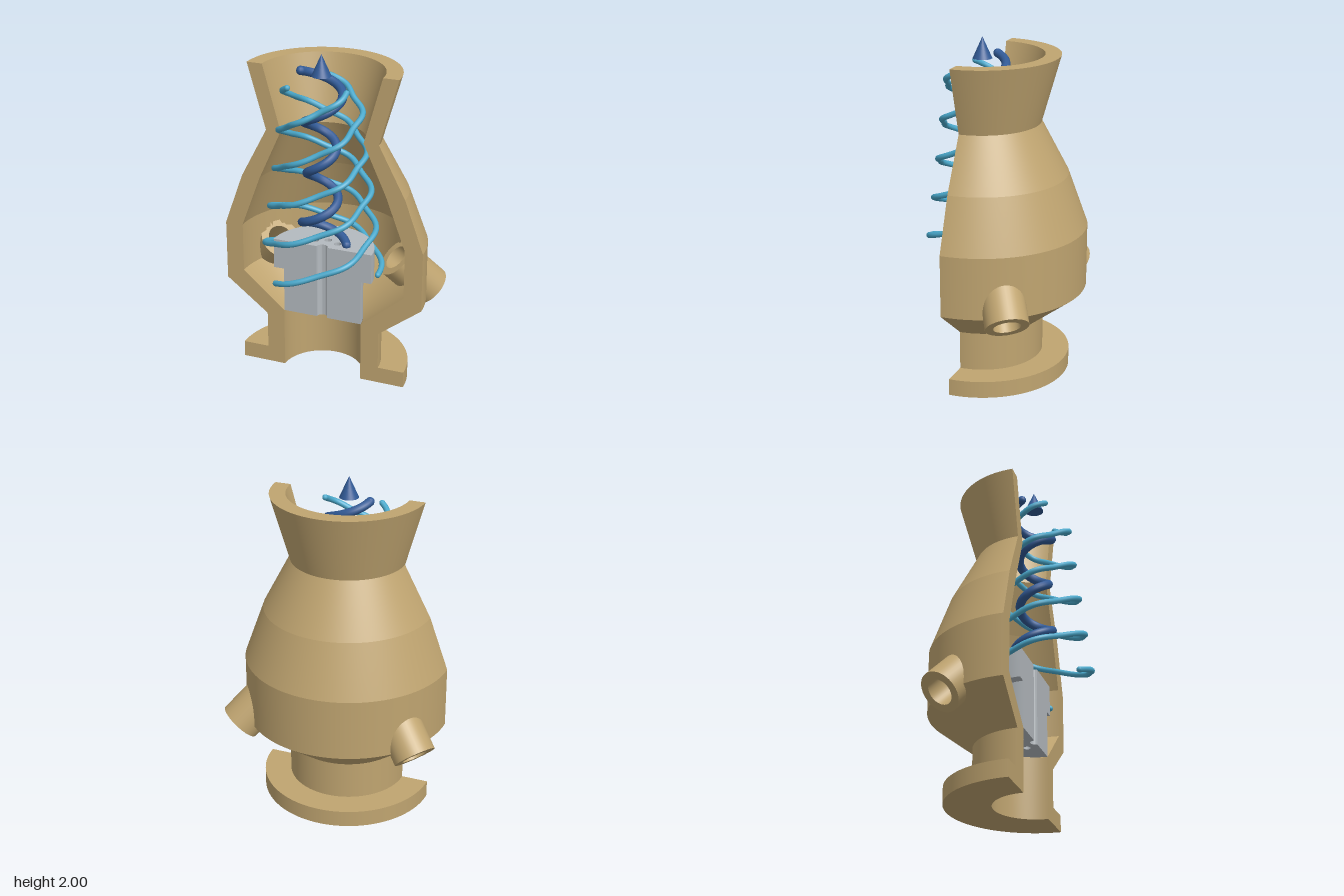
import * as THREE from 'three';
import { mergeGeometries, toCreasedNormals } from 'three/addons/utils/BufferGeometryUtils.js';

const mat = (name, color) => {
  const m = new THREE.MeshStandardMaterial({ color });
  m.name = name;
  return m;
};

const V2 = (x, y) => new THREE.Vector2(x, y);
const PORT_ANGLE = 34.3 * Math.PI / 180;

// Centre line of a side port: from its inner end, outward and down at 45 degrees
function portAxis(side) {
  const h = new THREE.Vector3(side * Math.cos(PORT_ANGLE), 0, -Math.sin(PORT_ANGLE));
  const start = h.clone().multiplyScalar(0.45).setY(0.72);
  const dir = h.clone().setY(-1).normalize();
  return { start, dir };
}

// Drops the triangles that lie inside the port bores (edge hides in the port wall)
function cutPorts(geo, radius) {
  const pos = geo.attributes.position;
  const idx = geo.index.array;
  const keep = [];
  const c = new THREE.Vector3(), p = new THREE.Vector3();
  const axes = [portAxis(1), portAxis(-1)];
  for (let i = 0; i < idx.length; i += 3) {
    c.set(0, 0, 0);
    for (let k = 0; k < 3; k++) c.add(p.fromBufferAttribute(pos, idx[i + k]));
    c.divideScalar(3);
    const inside = axes.some(({ start, dir }) => {
      p.copy(c).sub(start);
      const along = p.dot(dir);
      return along > -0.1 && p.addScaledVector(dir, -along).length() < radius;
    });
    if (!inside) keep.push(idx[i], idx[i + 1], idx[i + 2]);
  }
  geo.setIndex(keep);
  return geo;
}

// Revolves a closed profile with a sharp edge at every profile point
function sharpLathe(profile, segments, phi, length, step = 10) {
  return profile.map((a, i) => {
    const b = profile[(i + 1) % profile.length];
    const n = Math.max(1, Math.ceil(a.distanceTo(b) / step));
    const pts = [];
    for (let k = 0; k <= n; k++) pts.push(a.clone().lerp(b, k / n));
    return new THREE.LatheGeometry(pts, segments, phi, length);
  });
}

// Half-disc with a central notch and small through holes, extruded upward
function halfPlug(radius, y0, y1) {
  const s = new THREE.Shape();
  s.moveTo(radius, 0);
  s.absarc(0, 0, radius, 0, Math.PI, false);
  s.lineTo(-0.033, 0);
  s.absarc(0, 0, 0.033, Math.PI, 0, true);
  s.closePath();
  for (const a of [0.25, 0.5, 0.75]) {
    const hole = new THREE.Path();
    hole.absarc(0.1 * Math.cos(a * Math.PI), 0.1 * Math.sin(a * Math.PI), 0.022, 0, Math.PI * 2, true);
    s.holes.push(hole);
  }
  const g = new THREE.ExtrudeGeometry(s, { depth: y1 - y0, bevelEnabled: false, curveSegments: 32 });
  g.rotateX(-Math.PI / 2);
  g.translate(0, y0, 0);
  return toCreasedNormals(g, 0.6);
}

// Coil swept along a helix, with rounded ends
function coil(name, material, tube, segments, pointAt) {
  const g = new THREE.Group();
  g.name = name;
  const pts = [];
  for (let i = 0; i <= 120; i++) pts.push(pointAt(i / 120));
  const curve = new THREE.CatmullRomCurve3(pts);
  const body = new THREE.Mesh(new THREE.TubeGeometry(curve, segments, tube, 10), material);
  body.name = name + 'Strand';
  g.add(body);
  for (const p of [pts[0], pts[120]]) {
    const end = new THREE.Mesh(new THREE.SphereGeometry(tube, 10, 8), material);
    end.name = name + 'End';
    end.position.copy(p);
    g.add(end);
  }
  return g;
}

export function createModel() {
  const tan = mat('tan casing', 0xbfa470);
  const grey = mat('grey metal', 0xb4babf);
  const cyan = mat('light blue', 0x4aa9cc);
  const navy = mat('dark blue', 0x315a96);

  const model = new THREE.Group();
  model.name = 'cutawayChamber';
  const core = new THREE.Group();
  core.name = 'chamberAxis';
  core.position.z = 0.125;
  model.add(core);
  const add = (name, geo, material) => {
    const m = new THREE.Mesh(geo, material);
    m.name = name;
    core.add(m);
    return m;
  };

  // Casing: half revolved wall, outside going up then inside going down
  const wall = [
    V2(0.245, 0), V2(0.515, 0), V2(0.515, 0.1), V2(0.355, 0.1), V2(0.355, 0.33),
    V2(0.613, 0.53), V2(0.613, 0.895), V2(0.5, 1.21), V2(0.34, 1.515), V2(0.45, 1.905),
    V2(0.357, 1.905), V2(0.25, 1.515), V2(0.388, 1.21), V2(0.505, 0.895), V2(0.505, 0.595),
    V2(0.245, 0.372),
  ];
  const shell = sharpLathe(wall, 96, Math.PI / 2, Math.PI, 0.03).map((g) => cutPorts(g, 0.101));
  add('casingWall', mergeGeometries(shell), tan);

  // Flat cut faces of the casing
  for (const side of [1, -1]) {
    const section = new THREE.Shape(wall.map((p) => V2(p.x * side, p.y)));
    add('casingCutFace', new THREE.ShapeGeometry(section), tan);
  }

  // Slanted side ports through the wall
  const ring = [V2(0.078, 0), V2(0.125, 0), V2(0.125, 0.306), V2(0.078, 0.306)];
  for (const side of [1, -1]) {
    const { start, dir } = portAxis(side);
    const port = add(side > 0 ? 'leftPort' : 'rightPort',
      mergeGeometries(sharpLathe(ring, 40, 0, Math.PI * 2)), tan);
    port.position.copy(start);
    port.quaternion.setFromUnitVectors(new THREE.Vector3(0, 1, 0), dir);
  }

  // Stepped half plug sitting on the neck
  add('plugLower', halfPlug(0.243, 0.372, 0.65), grey);
  add('plugUpper', halfPlug(0.306, 0.65, 0.835), grey);

  // Central rising spiral, widest at its ends
  core.add(coil('centralSpiral', navy, 0.026, 200, (t) => {
    const y = 0.845 + 1.035 * t;
    const a = (1.74 - y) / 0.305 * Math.PI * 2;
    const r = 0.083 + 0.06 * Math.pow(Math.abs(2 * t - 1), 2);
    return new THREE.Vector3(r * Math.cos(a), y, r * Math.sin(a));
  }));

  // Arrow tip above the spiral
  const tip = add('arrowTip', new THREE.ConeGeometry(0.056, 0.125, 32), navy);
  tip.position.y = 1.9375;

  // Three outer rippling spirals, narrowing upward
  for (let k = 0; k < 3; k++) {
    core.add(coil('outerSpiral' + (k + 1), cyan, 0.017, 260, (t) => {
      const turn = 574.6 * t;
      const a = (118.6 + 120 * k - turn) * Math.PI / 180;
      const r = 0.343 - 0.143 * Math.pow(t, 0.85) + 0.013 * Math.sin(turn * 6 * Math.PI / 180);
      return new THREE.Vector3(r * Math.cos(a), 0.712 + 1.11 * t, r * Math.sin(a));
    }));
  }
  return model;
}
